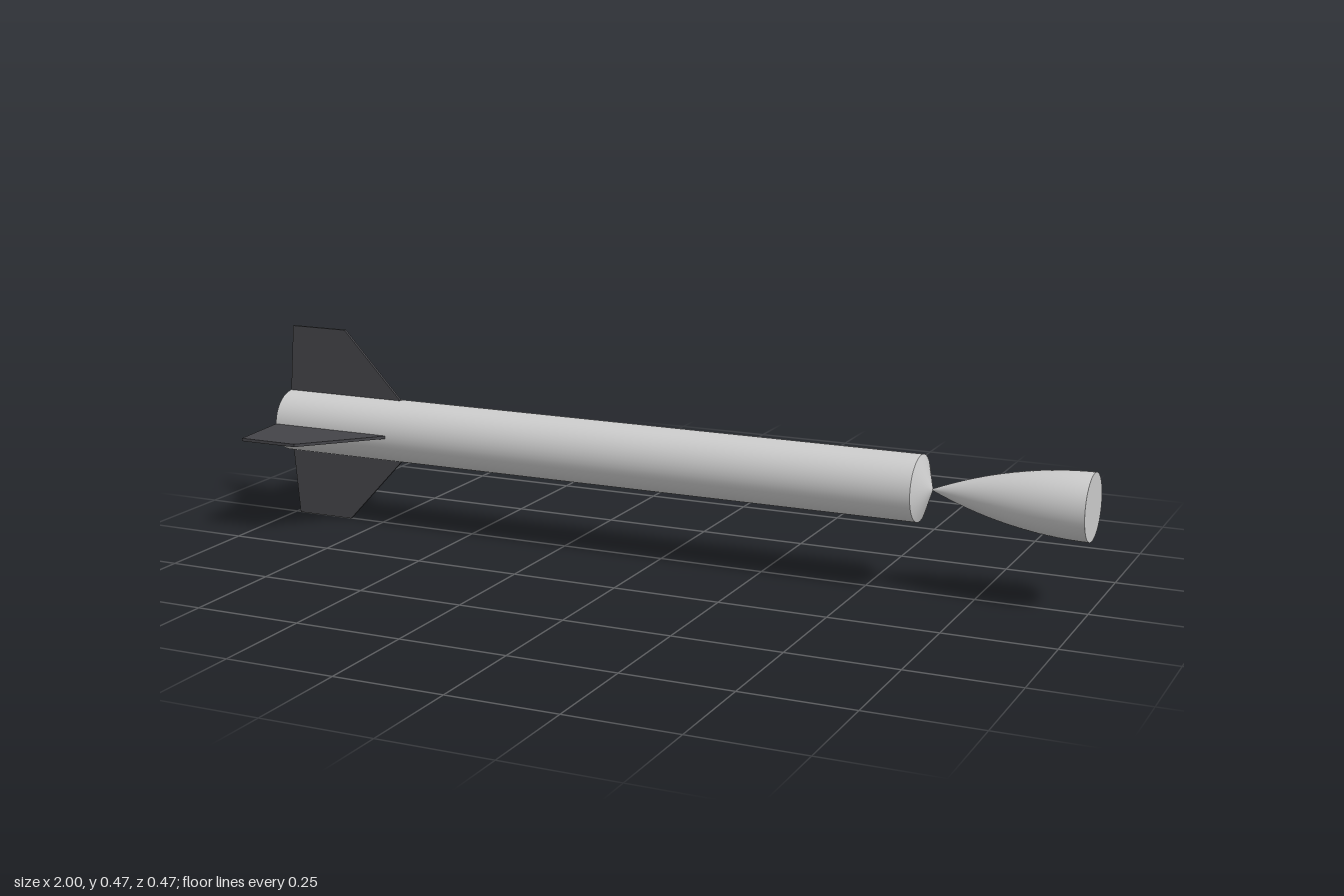
import * as THREE from 'three';

const RADIUS = 0.075, AXIS_Y = 0.236, SEGMENTS = 48;

export function createModel() {
  const rocket = new THREE.Group();
  rocket.name = 'rocket';
  const bodyGrey = new THREE.MeshStandardMaterial({ color: 0xcccccc });
  bodyGrey.name = 'body grey';
  const finGrey = new THREE.MeshStandardMaterial({ color: 0x444448 });
  finGrey.name = 'fin charcoal';

  // Turned part along the x axis, from [x, radius] points running towards +x
  const turned = (name, profile) => {
    const geometry = new THREE.LatheGeometry(profile.map(([x, r]) => new THREE.Vector2(r, x)), SEGMENTS);
    geometry.rotateZ(-Math.PI / 2);
    const mesh = new THREE.Mesh(geometry, bodyGrey);
    mesh.name = name;
    mesh.position.y = AXIS_Y;
    rocket.add(mesh);
  };

  // Body tube, its flat tail and the shallow cone closing its front
  turned('tailCap', [[-1, 0], [-1, RADIUS]]);
  turned('bodyTube', [[-1, RADIUS], [0.62, RADIUS]]);
  turned('frontCone', [[0.62, RADIUS], [0.648, 0.002]]);

  // Flared ogive, narrow where it meets the body, with a flat end
  const ogive = [];
  for (let i = 0; i <= 16; i++) {
    const t = i / 16;
    ogive.push([0.648 + 0.352 * t, 0.002 + (RADIUS - 0.002) * (1 - (1 - t) ** 2)]);
  }
  turned('noseOgive', ogive);
  turned('noseCap', [[1, RADIUS], [1, 0]]);

  // Four swept fins around the tail
  const thickness = 0.007;
  const outline = new THREE.Shape([
    [-1, 0.07], [-0.69, 0.07], [-0.69, 0.076], [-0.84, 0.236], [-0.987, 0.236], [-1, 0.075],
  ].map(([x, y]) => new THREE.Vector2(x, y)));
  const finGeometry = new THREE.ExtrudeGeometry(outline, { depth: thickness, bevelEnabled: false });
  finGeometry.translate(0, 0, -thickness / 2);
  ['topFin', 'frontFin', 'bottomFin', 'backFin'].forEach((name, i) => {
    const fin = new THREE.Mesh(finGeometry, finGrey);
    fin.name = name;
    fin.position.y = AXIS_Y;
    fin.rotation.x = i * Math.PI / 2;
    rocket.add(fin);
  });

  return rocket;
}
